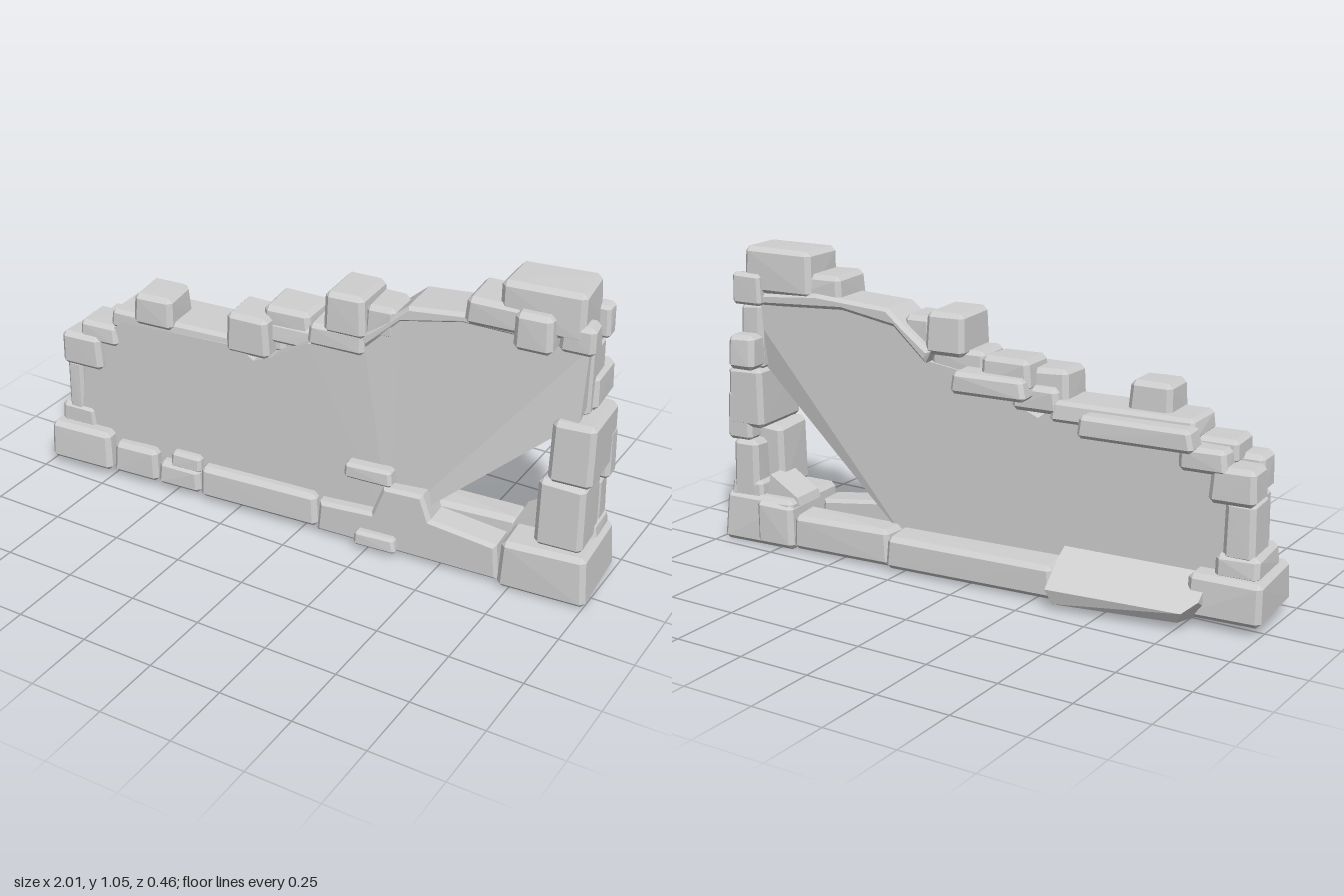
import * as THREE from 'three';
import { ConvexGeometry } from 'three/addons/geometries/ConvexGeometry.js';

const stoneGrey = new THREE.MeshStandardMaterial({ color: 0xcfcfcf, side: THREE.DoubleSide });
stoneGrey.name = 'stoneGrey';

// small seeded generator for hand-cut irregularity
let seed = 7;
const rnd = () => {
  seed = (seed * 16807) % 2147483647;
  return seed / 2147483647;
};

// block with chamfered edges and slightly uneven upper corners
function stone(x0, x1, y0, y1, z0, z1) {
  const c = [(x0 + x1) / 2, (y0 + y1) / 2, (z0 + z1) / 2];
  const h = [(x1 - x0) / 2, (y1 - y0) / 2, (z1 - z0) / 2];
  const b = Math.min(0.016, Math.min(...h) * 0.35);
  const pts = [];
  for (const sx of [-1, 1]) for (const sy of [-1, 1]) for (const sz of [-1, 1]) {
    const s = [sx, sy, sz];
    const shrink = h.map((v) => (sy < 0 ? 0 : rnd() * 0.1 * Math.min(v, 0.12)));
    for (let a = 0; a < 3; a++) {
      pts.push(new THREE.Vector3(...s.map((v, i) => c[i] + v * (h[i] - shrink[i] - (i === a ? 0 : b)))));
    }
  }
  return new ConvexGeometry(pts);
}

// convex block from a few corners
const convex = (corners) => new ConvexGeometry(corners.map((p) => new THREE.Vector3(...p)));

// outline in x, y pushed through z with a small bevel
function slab(outline, z0, z1, bevel) {
  const shape = new THREE.Shape(outline.map(([x, y]) => new THREE.Vector2(x, y)));
  const g = new THREE.ExtrudeGeometry(shape, {
    depth: z1 - z0 - 2 * bevel, bevelEnabled: true,
    bevelSize: bevel, bevelThickness: bevel, bevelOffset: -bevel, bevelSegments: 1,
  });
  return g.translate(0, 0, z0 + bevel).toNonIndexed();
}

// drops the downward faces near the ground, leaving the base hollow
function openBottom(geometry) {
  const p = geometry.attributes.position;
  const tri = new THREE.Triangle();
  const normal = new THREE.Vector3();
  const kept = [];
  for (let i = 0; i < p.count; i += 3) {
    tri.setFromAttributeAndIndices(p, i, i + 1, i + 2).getNormal(normal);
    if (normal.y < -0.85 && Math.max(tri.a.y, tri.b.y, tri.c.y) < 0.12) continue;
    for (const v of [tri.a, tri.b, tri.c]) kept.push(v.clone());
  }
  const open = new THREE.BufferGeometry().setFromPoints(kept);
  open.computeVertexNormals();
  return open;
}

// how far the wall leans towards its high end
const lean = (x, y) => THREE.MathUtils.clamp((y - 0.6) / 0.26, 0, 1) * THREE.MathUtils.clamp(x / 0.9, 0, 1);

function leanBack(geometry) {
  const p = geometry.attributes.position;
  for (let i = 0; i < p.count; i++) {
    if (p.getZ(i) > 0) p.setZ(i, p.getZ(i) - 0.05 * lean(p.getX(i), p.getY(i)));
  }
  geometry.computeVertexNormals();
  return geometry;
}

// front and back faces fanned from the first outline point, joined by a rim;
// a third number raises the outline on the back
function wallCore(outline) {
  const front = outline.map(([x, y]) => new THREE.Vector3(x, y, 0.1 - 0.05 * lean(x, y)));
  const back = outline.map(([x, y, up = 0]) => new THREE.Vector3(x, y + up, -0.055 - 0.03 * lean(x, y)));
  const pts = [];
  outline.forEach((_, i) => {
    const j = (i + 1) % outline.length;
    if (i > 0 && j > 0) pts.push(front[0], front[i], front[j], back[0], back[j], back[i]);
    pts.push(front[i], back[i], back[j], front[i], back[j], front[j]);
  });
  return new THREE.BufferGeometry().setFromPoints(pts);
}

export function createModel() {
  seed = 7;
  const model = new THREE.Group();
  model.name = 'ruinedWall';
  const wall = new THREE.Group();
  wall.name = 'wall';
  wall.rotation.y = 0.078;
  model.add(wall);

  const add = (name, geometry) => {
    const mesh = new THREE.Mesh(geometry, stoneGrey);
    mesh.name = name;
    wall.add(mesh);
  };
  const addStones = (name, rows) => rows.forEach((r, i) => add(name + (i + 1), stone(...r)));
  const addBase = (name, rows) => rows.forEach((r, i) => add(name + (i + 1), openBottom(stone(...r))));

  // plain wall core, broken away diagonally near the left end
  add('wallCore', openBottom(wallCore([
    [0.3, 0.08], [0.42, 0.18, 0.025], [0.92, 0.635, 0.065], [0.92, 0.865], [0.5, 0.88],
    [0.32, 0.84], [0.2, 0.72], [0, 0.69], [-0.13, 0.61], [-0.2, 0.58], [-0.25, 0.62],
    [-0.7, 0.61], [-0.86, 0.48], [-0.89, 0.2], [-0.9, 0.08],
  ])));

  // corner blocks of the base
  addBase('cornerStone', [
    [-0.998, -0.75, 0.03, 0.18, -0.135, 0.156],
    [0.7, 0.998, 0.0, 0.18, -0.145, 0.155],
  ]);

  // front base course
  addBase('frontBaseStone', [
    [-0.75, -0.57, 0.025, 0.15, 0.03, 0.14],
    [-0.57, -0.4, 0.025, 0.12, 0.03, 0.14],
    [-0.52, -0.4, 0.1, 0.165, 0.05, 0.13],
    [-0.4, 0.05, 0.02, 0.145, 0.03, 0.14],
    [0.2, 0.35, 0.02, 0.075, 0.08, 0.17],
  ]);
  add('steppedBaseStone', openBottom(slab([
    [0.05, 0.015], [0.7, 0.01], [0.69, 0.14], [0.46, 0.17], [0.43, 0.255],
    [0.29, 0.25], [0.25, 0.14], [0.06, 0.13],
  ], 0.03, 0.14, 0.012)));
  add('wallPlateStone', stone(0.15, 0.32, 0.25, 0.31, 0.07, 0.14));

  // back base course
  addBase('backBaseStone', [
    [0.7, 0.85, 0.005, 0.17, -0.155, -0.03],
    [0.31, 0.7, 0.01, 0.14, -0.15, -0.03],
    [-0.31, 0.32, 0.01, 0.128, -0.165, -0.03],
  ]);

  // large fallen block with a sloping top
  add('slopingBackStone', openBottom(convex([
    [-0.3, 0.17, -0.04], [-0.3, 0.14, -0.1], [-0.31, 0.07, -0.222], [-0.33, 0.02, -0.21],
    [-0.3, 0.02, -0.04], [-0.81, 0.16, -0.05], [-0.81, 0.1, -0.17], [-0.77, 0.07, -0.212],
    [-0.75, 0.03, -0.19], [-0.81, 0.03, -0.05],
  ])));

  // right end column
  addStones('rightColumnStone', [
    [-0.975, -0.83, 0.16, 0.245, -0.1, 0.11],
    [-0.955, -0.85, 0.22, 0.42, -0.09, 0.06],
    [-0.94, -0.88, 0.2, 0.42, 0.03, 0.105],
    [-0.94, -0.78, 0.41, 0.54, 0.02, 0.13],
    [-0.955, -0.8, 0.4, 0.52, -0.1, 0.03],
    [-0.87, -0.72, 0.51, 0.59, -0.03, 0.115],
    [-0.86, -0.7, 0.49, 0.57, -0.1, 0.0],
  ]);

  // left end column
  addStones('leftColumnStone', [
    [0.805, 0.965, 0.175, 0.42, -0.045, 0.125],
    [0.835, 0.98, 0.415, 0.635, -0.12, 0.125],
    [0.86, 0.965, 0.16, 0.37, -0.125, -0.03],
    [0.84, 0.975, 0.16, 0.225, -0.125, 0.01],
    [0.885, 0.985, 0.365, 0.545, -0.12, -0.045],
    [0.84, 0.945, 0.63, 0.755, -0.16, 0.015],
    [0.84, 0.93, 0.62, 0.86, -0.1, 0.045],
  ]);

  // broken wedge leaning against the foot of the left column
  const wedge = [];
  for (const z of [-0.1, 0.03]) {
    wedge.push([0.7, 0.15, z], [0.71, 0.18, z], [0.82, 0.25, z], [0.84, 0.15, z]);
  }
  add('columnFootWedge', convex(wedge));

  // coping course along the broken top edge
  add('highCoping', leanBack(slab([
    [0.2, 0.72], [0.32, 0.83], [0.52, 0.865], [0.92, 0.845], [0.92, 0.885],
    [0.62, 0.91], [0.34, 0.89], [0.27, 0.83], [0.18, 0.76],
  ], -0.092, 0.105, 0.012)));
  addStones('copingStone', [
    [-0.75, -0.25, 0.58, 0.65, -0.08, 0.1],
    [-0.76, -0.37, 0.555, 0.63, -0.135, -0.04],
    [-0.28, -0.11, 0.6, 0.69, -0.075, 0.05],
    [-0.19, 0.08, 0.645, 0.72, -0.14, 0.07],
  ]);

  // loose stones on top
  addStones('topStone', [
    [-0.65, -0.5, 0.62, 0.74, -0.04, 0.115],
    [-0.3, -0.14, 0.595, 0.745, -0.05, 0.11],
    [-0.19, -0.01, 0.67, 0.775, -0.1, 0.06],
    [0.0, 0.2, 0.69, 0.77, -0.05, 0.11],
    [0.06, 0.205, 0.75, 0.9, -0.085, 0.115],
    [0.19, 0.3, 0.76, 0.87, -0.06, 0.09],
    [0.53, 0.72, 0.88, 0.975, -0.08, 0.1],
    [0.64, 0.91, 0.89, 1.055, -0.095, 0.09],
    [0.7, 0.825, 0.845, 0.975, 0.03, 0.13],
    [0.83, 0.945, 0.85, 0.95, 0.005, 0.09],
    [0.83, 0.945, 0.85, 0.96, -0.115, -0.055],
  ]);

  return model;
}
